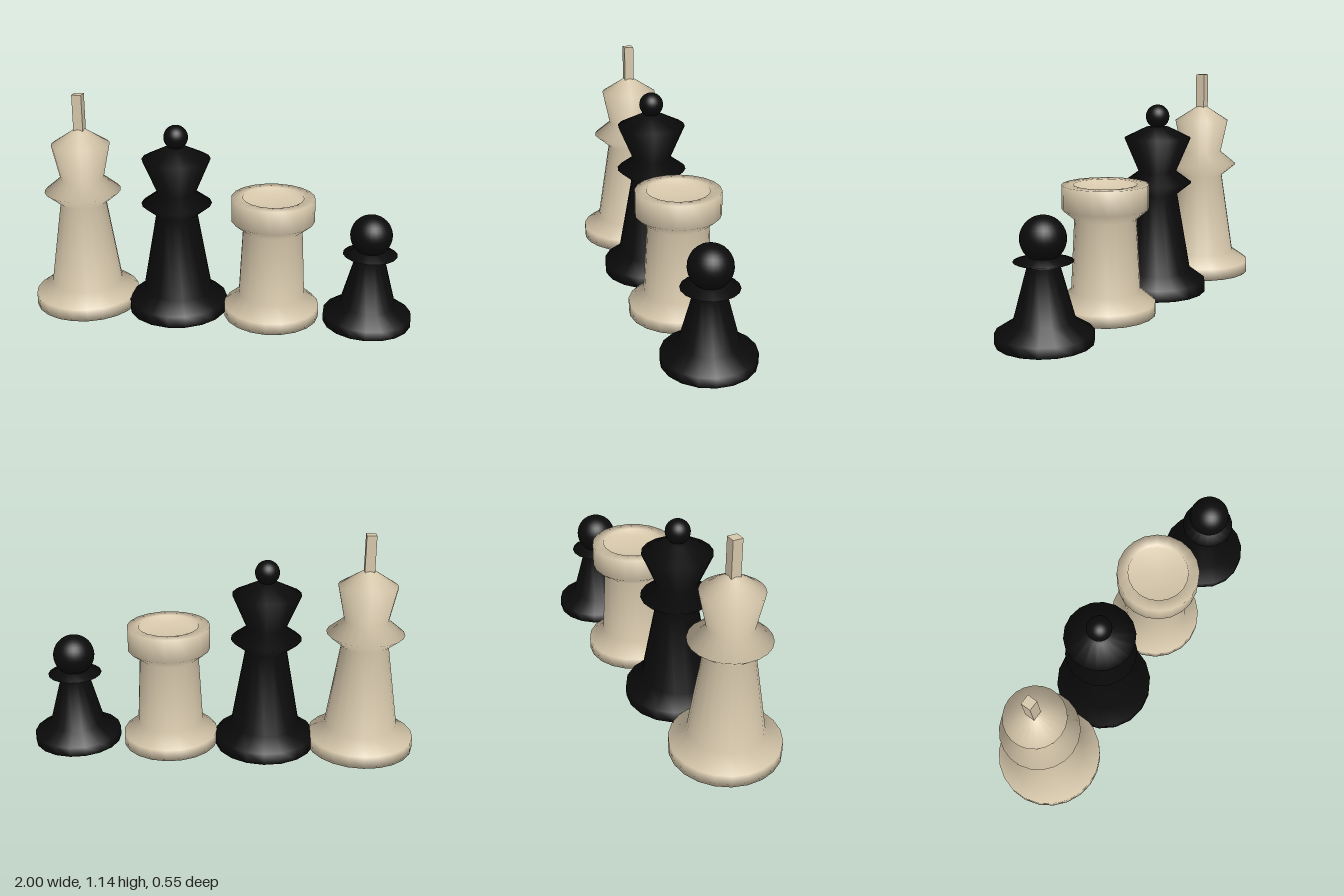
import * as THREE from 'three';

const ivory = new THREE.MeshStandardMaterial({ color: 0xd6c7ab });
ivory.name = 'ivory';
const ebony = new THREE.MeshStandardMaterial({ color: 0x0b0b0b });
ebony.name = 'ebony';

// Turned body: profile of [radius, height] pairs, from the underside to the top
function turned(name, profile, sides, material) {
  const points = profile.map(([r, y]) => new THREE.Vector2(r, y));
  const mesh = new THREE.Mesh(new THREE.LatheGeometry(points, sides), material);
  mesh.name = name;
  return mesh;
}

function ball(name, radius, y, material) {
  const mesh = new THREE.Mesh(new THREE.SphereGeometry(radius, 28, 18), material);
  mesh.name = name;
  mesh.position.y = y;
  return mesh;
}

function piece(name, x, ...parts) {
  const group = new THREE.Group();
  group.name = name;
  group.position.x = x;
  group.add(...parts);
  return group;
}

export function createModel() {
  const model = new THREE.Group();
  model.name = 'chessPieces';

  // King: collared body with a square post on top
  const post = new THREE.Mesh(new THREE.BoxGeometry(0.05, 0.19, 0.05), ivory);
  post.name = 'kingPost';
  post.position.y = 1.045;
  const king = piece('king', -0.727, turned('kingBody', [
    [0, 0], [0.275, 0], [0.275, 0.065], [0.188, 0.125], [0.12, 0.565],
    [0.198, 0.63], [0.112, 0.7], [0.15, 0.88], [0.02, 0.963], [0, 0.963],
  ], 22, ivory), post);

  // Queen: flared crown with a ball
  const queen = piece('queen', -0.225, turned('queenBody', [
    [0, 0], [0.26, 0], [0.26, 0.06], [0.18, 0.12], [0.107, 0.53],
    [0.182, 0.59], [0.1, 0.65], [0.176, 0.828], [0.06, 0.885], [0, 0.89],
  ], 18, ebony), ball('queenBall', 0.062, 0.94, ebony));

  // Rook: drum top with a shallow recess
  const rook = piece('rook', 0.275, turned('rookBody', [
    [0, 0], [0.248, 0], [0.248, 0.06], [0.172, 0.125], [0.153, 0.48],
    [0.213, 0.53], [0.213, 0.65], [0.155, 0.65], [0.155, 0.61], [0, 0.61],
  ], 20, ivory));

  // Pawn: thin collar and a large ball head
  const pawn = piece('pawn', 0.774, turned('pawnBody', [
    [0, 0], [0.227, 0], [0.227, 0.05], [0.142, 0.105], [0.075, 0.352],
    [0.138, 0.376], [0.065, 0.397], [0, 0.42],
  ], 18, ebony), ball('pawnHead', 0.106, 0.478, ebony));

  model.add(king, queen, rook, pawn);
  return model;
}
